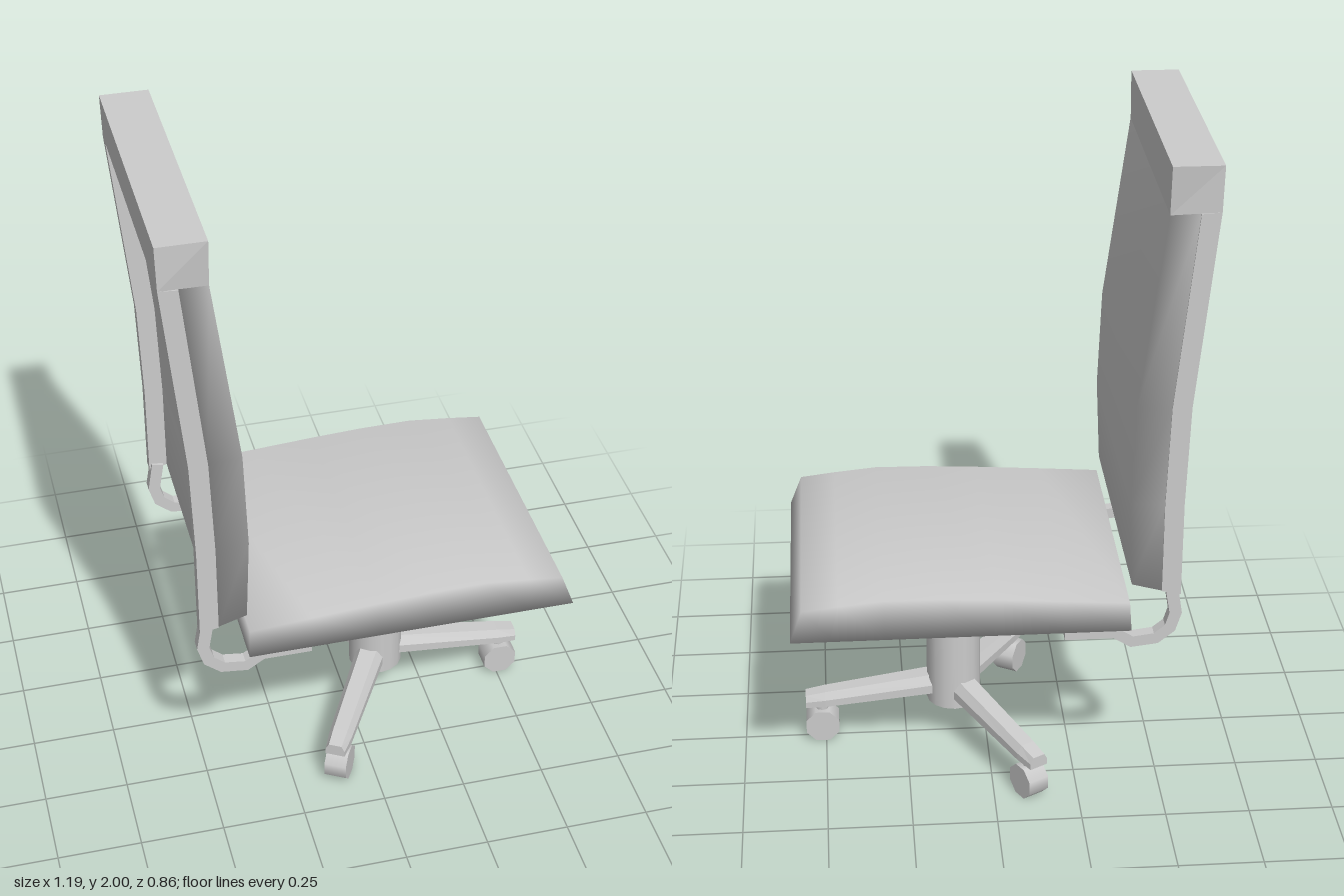
import * as THREE from 'three';

const material = (flat) => new THREE.MeshStandardMaterial({ color: 0xcccccc, flatShading: flat });

// Joins rings of points (counter-clockwise about the run direction) into a closed solid
function loft(name, rings, flat = true) {
  const n = rings[0].length, last = (rings.length - 1) * n, index = [];
  for (let i = 0; i < rings.length - 1; i++) {
    for (let j = 0; j < n; j++) {
      const a = i * n + j, b = i * n + (j + 1) % n;
      index.push(a, b, b + n, a, b + n, a + n);
    }
  }
  for (let j = 1; j < n - 1; j++) {
    index.push(0, j + 1, j, last, last + j, last + j + 1);
  }
  const geometry = new THREE.BufferGeometry();
  geometry.setAttribute('position', new THREE.Float32BufferAttribute(rings.flat(2), 3));
  geometry.setIndex(index);
  geometry.computeVertexNormals();
  const mesh = new THREE.Mesh(geometry, material(flat));
  mesh.name = name;
  return mesh;
}

// Square bar bent along a path in the xy plane
function bentBar(name, path, half, z) {
  const rings = path.map(([x, y], i) => {
    const p = path[Math.max(i - 1, 0)], q = path[Math.min(i + 1, path.length - 1)];
    const t = new THREE.Vector2(q[0] - p[0], q[1] - p[1]).normalize();
    return [[-1, -1], [1, -1], [1, 1], [-1, 1]].map(([s, w]) =>
      [x - t.y * s * half, y + t.x * s * half, z + w * half]);
  });
  return loft(name, rings);
}

function cylinder(name, radius, height, sides) {
  const mesh = new THREE.Mesh(new THREE.CylinderGeometry(radius, radius, height, sides), material(false));
  mesh.name = name;
  return mesh;
}

function createSeat() {
  // bottom x, top x, top y
  const profile = [[-0.39, -0.385, 0.685], [-0.2, -0.2, 0.698], [0, 0, 0.711], [0.16, 0.16, 0.719],
    [0.32, 0.32, 0.721], [0.46, 0.45, 0.708], [0.59, 0.555, 0.695]];
  return loft('seat', profile.map(([xb, xt, y]) =>
    [[xb, 0.6, -0.43], [xt, y, -0.418], [xt, y, 0.418], [xb, 0.6, 0.43]]), false);
}

function createBackrest() {
  const group = new THREE.Group();
  group.name = 'backrest';
  // back x, back y, front x, front y
  const profile = [[-0.53, 0.71, -0.39, 0.74], [-0.53, 1.0, -0.378, 1.0],
    [-0.54, 1.3, -0.388, 1.3], [-0.597, 1.87, -0.46, 1.86]];
  const depth = 0.055;

  // cushion, set forward of the rear rails
  group.add(loft('backCushion', profile.map(([xb, yb, xf, yf]) => {
    const x = xb + depth, y = yb + (yf - yb) * depth / (xf - xb);
    return [[x, y, -0.416], [x, y, 0.416], [xf, yf, 0.407], [xf, yf, -0.407]];
  }), false));

  // rails down both sides of the back
  for (const s of [-1, 1]) {
    const z0 = s > 0 ? 0.38 : -0.42, z1 = z0 + 0.04;
    group.add(loft('backRail', profile.map(([xb, yb, xf, yf]) => {
      const x = xb + depth, y = yb + (yf - yb) * depth / (xf - xb);
      return [[xb, yb, z0], [xb, yb, z1], [x, y, z1], [x, y, z0]];
    })));
  }

  // block across the top
  group.add(loft('headBlock', [[-0.597, 1.87, -0.46, 1.86, 0.406], [-0.6, 2, -0.46, 2, 0.42]]
    .map(([xb, yb, xf, yf, zf]) =>
      [[xb, yb, -0.42], [xb, yb, 0.42], [xf, yf, zf], [xf, yf, -zf]])));
  return group;
}

function createLeg() {
  const leg = new THREE.Group();
  leg.name = 'leg';
  // distance, bottom y, top y, half width at bottom and top
  const sections = [[0.04, 0.168, 0.226, 0.045, 0.026], [0.4, 0.125, 0.17, 0.036, 0.022],
    [0.46, 0.12, 0.158, 0.03, 0.02]];
  leg.add(loft('legArm', sections.map(([r, y0, y1, wb, wt]) =>
    [[r, y0, -wb], [r, (y0 + y1) / 2, -wb], [r, y1, -wt],
      [r, y1, wt], [r, (y0 + y1) / 2, wb], [r, y0, wb]])));
  const stem = cylinder('casterStem', 0.02, 0.06, 8);
  stem.position.set(0.41, 0.11, 0);
  const wheel = cylinder('casterWheel', 0.055, 0.068, 8);
  wheel.geometry.rotateY(Math.PI / 8).rotateX(Math.PI / 2);
  wheel.position.set(0.41, 0.053, 0);
  leg.add(stem, wheel);
  return leg;
}

export function createModel() {
  const model = new THREE.Group();
  model.name = 'officeChair';
  model.add(createSeat(), createBackrest());

  // brackets joining the seat to the back
  const path = [[-0.505, 0.73], [-0.52, 0.64], [-0.505, 0.59], [-0.465, 0.557], [-0.395, 0.548],
    [-0.345, 0.58], [-0.2, 0.58]];
  for (const s of [-1, 1]) model.add(bentBar('backBracket', path, 0.018, s * 0.388));

  // column and three-legged base
  const base = new THREE.Group();
  base.name = 'base';
  base.position.x = 0.1;
  const column = cylinder('column', 0.083, 0.475, 16);
  column.position.y = 0.3675;
  base.add(column);
  for (let i = 0; i < 3; i++) {
    const leg = createLeg();
    leg.rotation.y = i * Math.PI * 2 / 3;
    base.add(leg);
  }
  model.add(base);
  return model;
}
